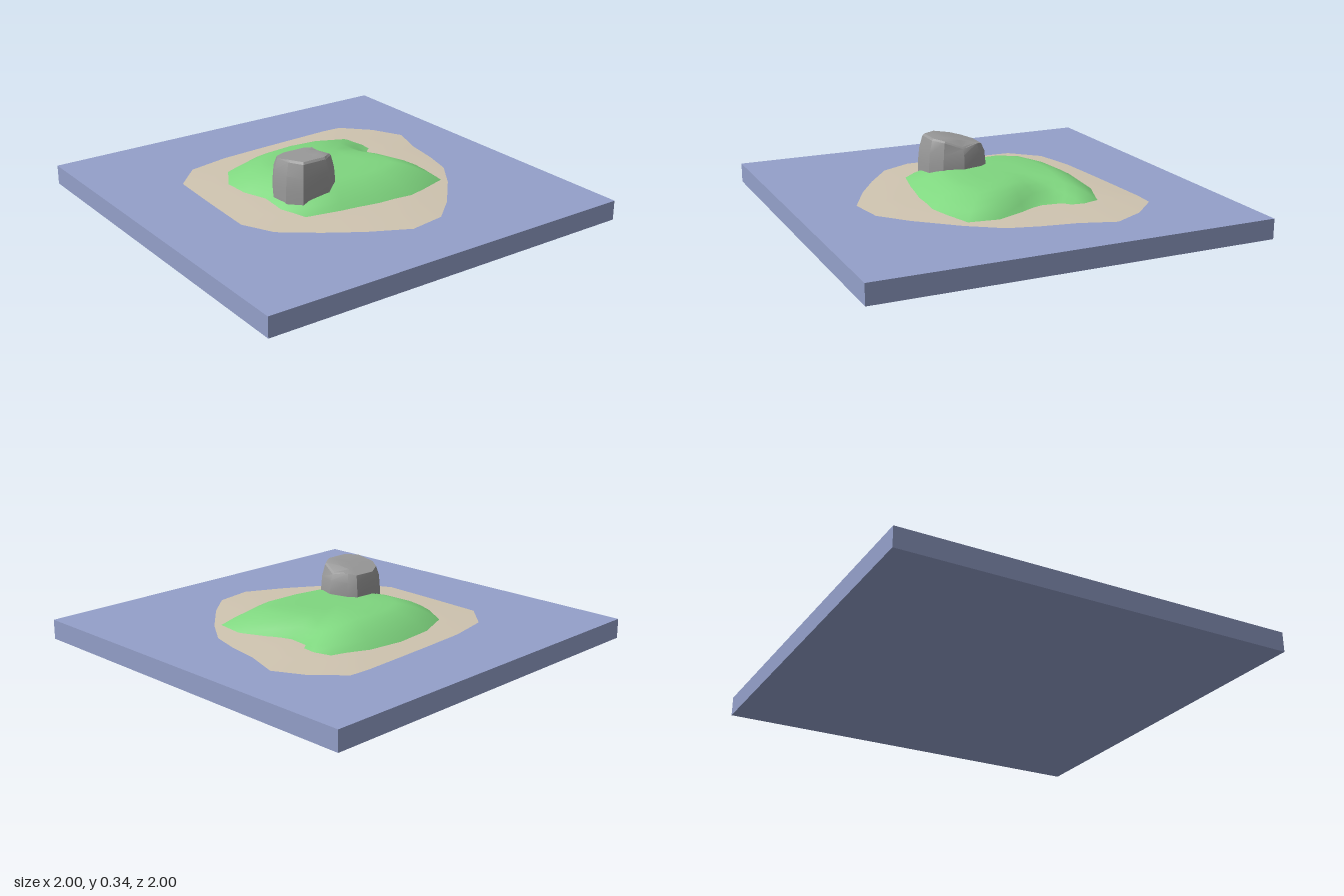
import * as THREE from 'three';
import { toCreasedNormals } from 'three/addons/utils/BufferGeometryUtils.js';

// Loft an outline of [x, z] points inward through rings of [scale, y],
// closing at the centre; heightRule may reshape each vertex's height.
function loft(outline, [cx, cz], rings, heightRule = (x, y) => y) {
  const n = outline.length;
  const pos = [], index = [];
  for (const [s, y] of rings) {
    for (const [px, pz] of outline) {
      const x = cx + (px - cx) * s, z = cz + (pz - cz) * s;
      pos.push(x, heightRule(x, y, z), z);
    }
  }
  for (let r = 0; r < rings.length - 1; r++) {
    for (let i = 0; i < n; i++) {
      const a = r * n + i, b = r * n + (i + 1) % n;
      index.push(a, a + n, b, b, a + n, b + n);
    }
  }
  const last = (rings.length - 1) * n;
  pos.push(cx, heightRule(cx, rings[rings.length - 1][1], cz), cz);
  for (let i = 0; i < n; i++) index.push(last + i, rings.length * n, last + (i + 1) % n);
  const geo = new THREE.BufferGeometry();
  geo.setAttribute('position', new THREE.Float32BufferAttribute(pos, 3));
  geo.setIndex(index);
  geo.computeVertexNormals();
  return geo;
}

export function createModel() {
  const group = new THREE.Group();
  const add = (name, geo, color) => {
    const mesh = new THREE.Mesh(geo, new THREE.MeshStandardMaterial({ color }));
    mesh.name = name;
    group.add(mesh);
  };

  // Square slab of water
  const slab = new THREE.BoxGeometry(2, 0.1, 2);
  slab.translate(0, 0.05, 0);
  add('water', slab, 0x94a0ca);

  // Thin sandy beach
  const beach = [
    [-0.46, -0.54], [-0.24, -0.585], [0, -0.6], [0.2, -0.61], [0.42, -0.62], [0.53, -0.615],
    [0.66, -0.48], [0.74, -0.32], [0.68, -0.14], [0.65, 0.04], [0.61, 0.19], [0.5, 0.35],
    [0.33, 0.54], [0.19, 0.66], [0, 0.69], [-0.2, 0.59], [-0.37, 0.48], [-0.54, 0.35],
    [-0.62, 0.19], [-0.61, -0.1], [-0.595, -0.4],
  ];
  add('sand', loft(beach, [0.03, -0.02], [[1, 0.101], [0.8, 0.108], [0.6, 0.113]]), 0xcfc4b0);

  // Grassy mound with a hollow on its left side
  const mound = [
    [-0.34, -0.39], [-0.16, -0.46], [0.05, -0.48], [0.24, -0.46], [0.43, -0.39], [0.46, -0.3],
    [0.455, -0.22], [0.41, -0.1], [0.45, 0.02], [0.5, 0.17], [0.48, 0.32], [0.23, 0.395],
    [0.04, 0.39], [-0.16, 0.355], [-0.34, 0.31], [-0.39, 0.17], [-0.38, 0.02],
    [-0.42, -0.11], [-0.425, -0.25],
  ];
  const hollow = (x, y, z) => {
    const d = ((x - 0.36) / 0.13) ** 2 + ((z + 0.18) / 0.09) ** 2;
    return Math.max(Math.min(y, 0.112), y - 0.04 * Math.exp(-d));
  };
  const moundRings = [
    [1, 0.108], [0.9, 0.14], [0.78, 0.169], [0.67, 0.188], [0.56, 0.199], [0.3, 0.2],
  ];
  add('grass', toCreasedNormals(loft(mound, [0.03, -0.04], moundRings, hollow), 0.7), 0x7fd67f);

  // Boulder: sheer sides, flat top sloping down to the back and to the left
  const boulder = [
    [-0.24, -0.045], [-0.11, -0.04], [-0.08, 0], [-0.055, 0.1], [-0.09, 0.2],
    [-0.16, 0.25], [-0.31, 0.25], [-0.355, 0.17], [-0.355, 0.06], [-0.32, 0],
  ];
  const slope = (x, y, z) => Math.min(
    y,
    0.345 - 0.22 * Math.max(0, 0.15 - z),
    0.345 - 1.05 * Math.max(0, x + 0.12),
  );
  const boulderRings = [[1, 0.11], [1, 0.2], [0.96, 0.27], [0.86, 0.335], [0.8, 0.345], [0.5, 0.345]];
  add('rock', toCreasedNormals(loft(boulder, [-0.205, 0.1], boulderRings, slope), 0.5), 0x999999);

  return group;
}
